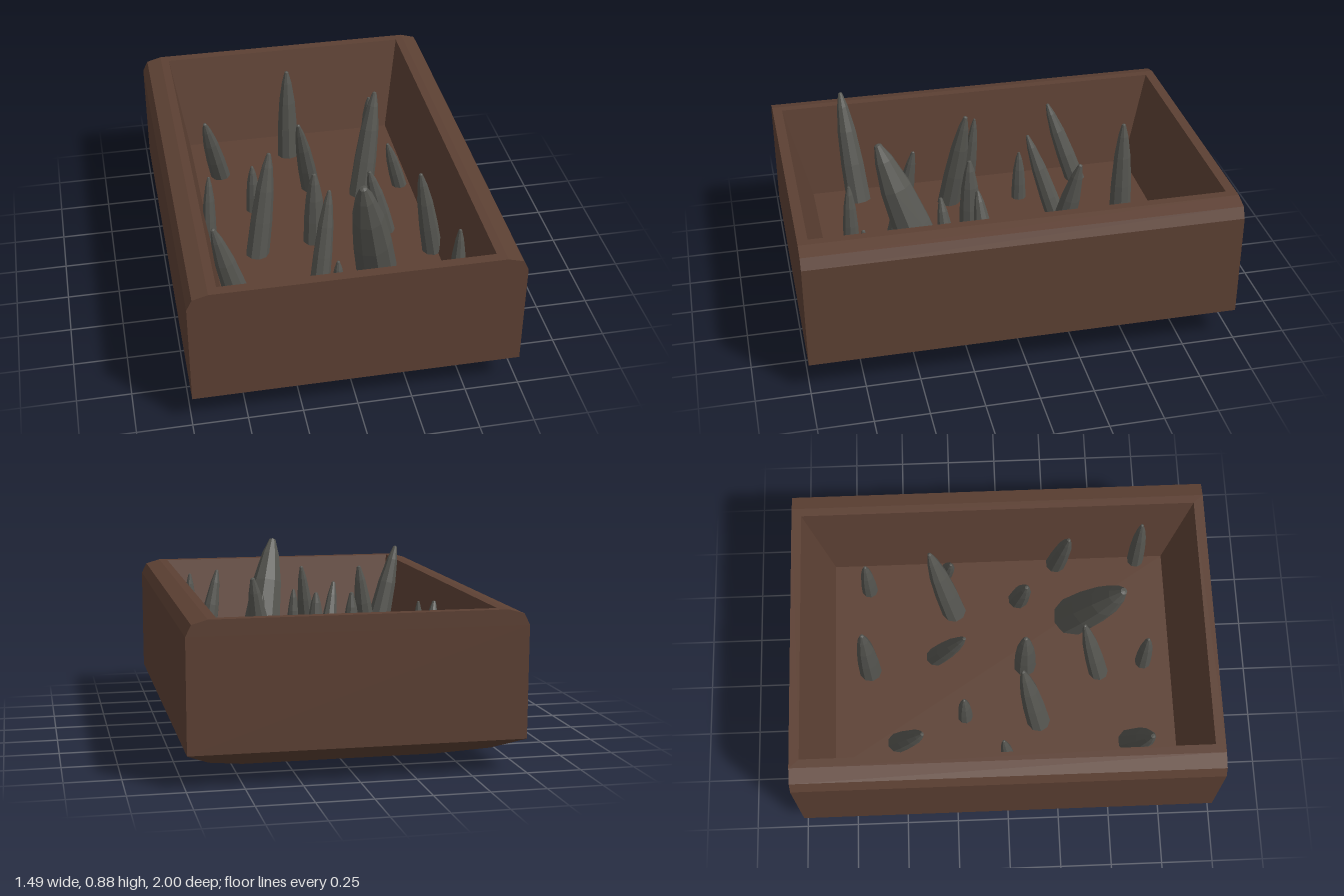
import * as THREE from 'three';

const wood = new THREE.MeshStandardMaterial({ color: 0x5c4033 });
wood.name = 'brown earth';
const stone = new THREE.MeshStandardMaterial({ color: 0x555550 });
stone.name = 'grey stone';

const FLOOR = 0.27;

// Rectangular rings joined bottom to top, over the rim and down to the floor
function trayGeometry() {
  const rings = [ // half width, half depth, height
    [0.45, 0.6, 0], [0.635, 0.84, 0.08], [0.745, 1, 0.155],
    [0.745, 1, 0.66], [0.72, 1, 0.71], [0.65, 1, 0.73],
    [0.61, 0.953, 0.73], [0.535, 0.833, FLOOR],
  ].map(([x, z, y]) => [[x, y, z], [x, y, -z], [-x, y, -z], [-x, y, z]]);
  const pos = [];
  const quad = (a, b, c, d) => pos.push(...a, ...b, ...c, ...a, ...c, ...d);
  for (let i = 0; i < rings.length - 1; i++) {
    for (let k = 0; k < 4; k++) {
      const n = (k + 1) % 4;
      quad(rings[i][k], rings[i][n], rings[i + 1][n], rings[i + 1][k]);
    }
  }
  quad(...[...rings[0]].reverse()); // underside
  quad(...rings[rings.length - 1]); // pit floor
  const g = new THREE.BufferGeometry();
  g.setAttribute('position', new THREE.Float32BufferAttribute(pos, 3));
  g.computeVertexNormals();
  return g;
}

// Faceted bullet-shaped spike leaning from its base to its tip
function makeSpike(bx, bz, tx, tz, tipY, r) {
  const base = new THREE.Vector3(bx, FLOOR - 0.01, bz);
  const dir = new THREE.Vector3(tx, tipY, tz).sub(base);
  const h = dir.length();
  const profile = [[0, 0], [1, 0], [0.93, 0.35], [0.75, 0.65], [0.45, 0.87], [0.17, 0.99], [0, 1]]
    .map(([x, y]) => new THREE.Vector2(x * r, y * h));
  const g = new THREE.LatheGeometry(profile, 9).toNonIndexed();
  g.computeVertexNormals();
  const spike = new THREE.Mesh(g, stone);
  spike.position.copy(base);
  spike.quaternion.setFromUnitVectors(new THREE.Vector3(0, 1, 0), dir.normalize());
  return spike;
}

export function createModel() {
  const model = new THREE.Group();
  model.name = 'spikePit';

  const tray = new THREE.Mesh(trayGeometry(), wood);
  tray.name = 'pitTray';
  model.add(tray);

  const spikes = new THREE.Group();
  spikes.name = 'spikes';
  [ // base x, base z, tip x, tip z, tip height, radius
    [-0.035, -0.66, -0.035, -0.66, 0.775, 0.055],
    [0.4, -0.66, 0.4, -0.66, 0.57, 0.04],
    [-0.29, -0.195, -0.29, -0.195, 0.53, 0.037],
    [-0.035, 0.11, -0.035, 0.11, 0.66, 0.055],
    [-0.035, 0.7, -0.035, 0.7, 0.59, 0.04],
    [0.52, 0.7, 0.52, 0.7, 0.69, 0.042],
    [-0.41, -0.53, -0.495, -0.39, 0.68, 0.05],
    [0.03, -0.335, -0.06, -0.18, 0.755, 0.048],
    [0.27, -0.235, 0.355, -0.335, 0.805, 0.06],
    [0.485, -0.275, 0.405, -0.24, 0.55, 0.038],
    [-0.54, 0.02, -0.525, -0.015, 0.62, 0.036],
    [-0.325, 0.165, -0.245, 0.085, 0.79, 0.057],
    [0.325, 0.09, 0.23, 0.125, 0.65, 0.05],
    [0.515, 0.29, 0.425, 0.335, 0.755, 0.05],
    [-0.08, 0.475, -0.015, 0.385, 0.755, 0.048],
    [0.22, 0.36, 0.1, 0.57, 0.88, 0.1],
    [-0.445, 0.61, -0.585, 0.66, 0.815, 0.062],
  ].forEach((s, i) => {
    const spike = makeSpike(...s);
    spike.name = `spike${i + 1}`;
    spikes.add(spike);
  });
  model.add(spikes);
  return model;
}
